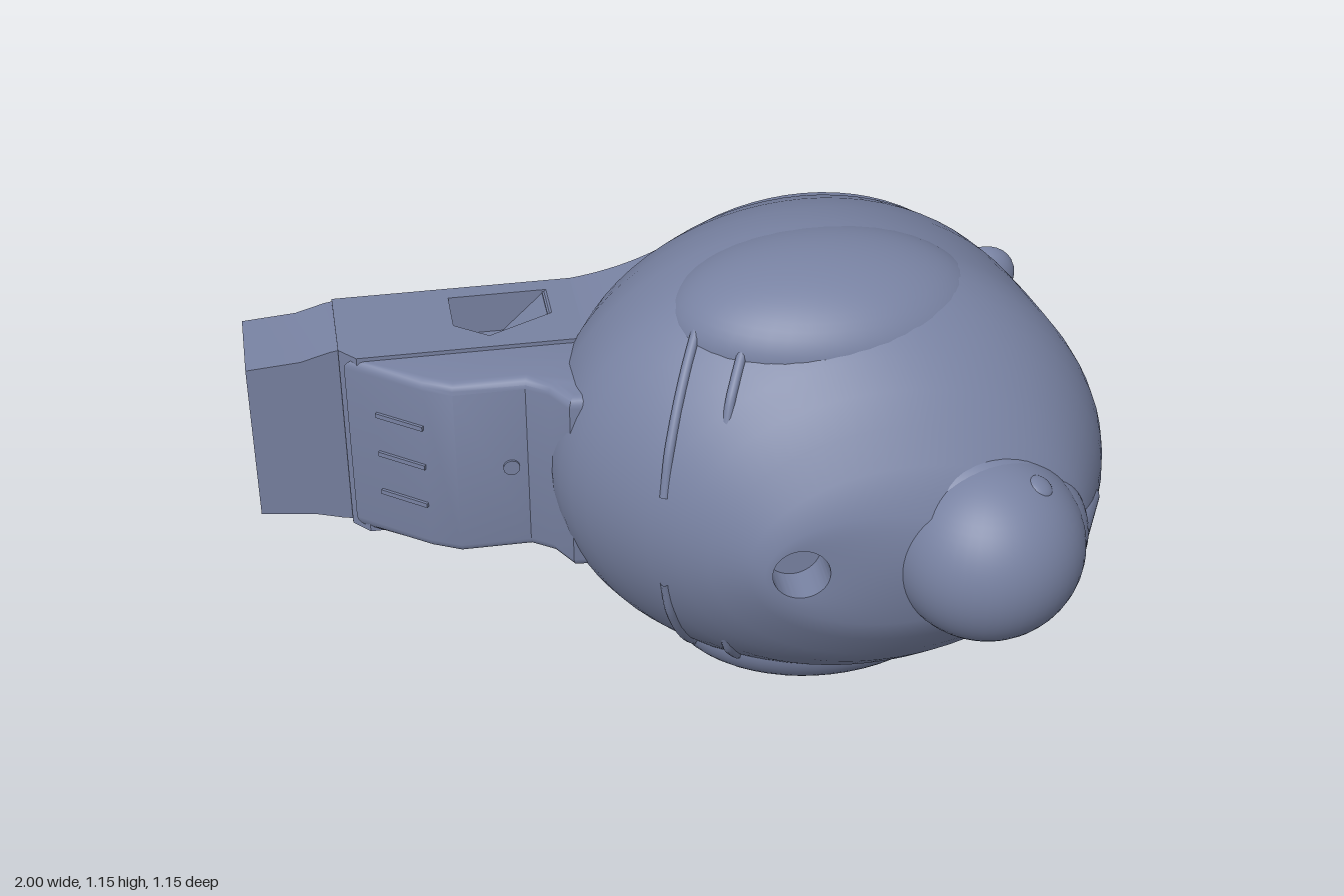
import * as THREE from 'three';
import { toCreasedNormals } from 'three/addons/utils/BufferGeometryUtils.js';

const MID = 0.575;   // height of the mirror plane
const BACK = -0.575; // flat back plane

// Body cross-sections: z at left edge, z at right edge, xMin, xMax, half height
const SECTIONS = [
  [-0.575, -0.575, -0.11, 0.885, 0.432],
  [-0.56, -0.56, -0.12, 0.885, 0.434],
  [-0.5, -0.5, -0.17, 0.905, 0.467],
  [-0.4, -0.4, -0.24, 0.935, 0.514],
  [-0.3, -0.3, -0.285, 0.955, 0.545],
  [-0.2, -0.2, -0.31, 0.97, 0.56],
  [-0.1, -0.1, -0.308, 0.985, 0.562],
  [-0.05, -0.05, -0.298, 0.993, 0.558],
  [0, 0, -0.277, 0.996, 0.546],
  [0.05, 0.05, -0.248, 0.992, 0.528],
  [0.1, 0.1, -0.213, 0.98, 0.504],
  [0.15, 0.15, -0.175, 0.963, 0.473],
  [0.2, 0.2, -0.132, 0.94, 0.436],
  [0.26, 0.26, -0.068, 0.908, 0.38],
  [0.31, 0.31, -0.005, 0.875, 0.32],
  [0.36, 0.36, 0.075, 0.825, 0.24],
  [0.385, 0.445, 0.108, 0.65, 0.15],
  [0.387, 0.401, 0.125, 0.255, 0.065], // rim of the round hole
  [0.3, 0.3, 0.125, 0.255, 0.065],     // floor of the round hole
];

function bodyGeometry(n = 72) {
  const pos = [], idx = [];
  for (const [zl, zr, x0, x1, h] of SECTIONS) {
    for (let j = 0; j < n; j++) {
      const a = (j / n) * Math.PI * 2, t = (Math.cos(a) + 1) / 2;
      pos.push(x0 + (x1 - x0) * t, MID + h * Math.sin(a), zl + (zr - zl) * t);
    }
  }
  const last = SECTIONS.length - 1, c0 = pos.length / 3, c1 = c0 + 1;
  pos.push(0.39, MID, BACK, 0.19, MID, 0.3);
  for (let j = 0; j < n; j++) {
    const k = (j + 1) % n;
    for (let i = 0; i < last; i++) {
      const a = i * n + j, b = i * n + k;
      idx.push(a, b, b + n, a, b + n, a + n);
    }
    idx.push(c0, k, j, c1, last * n + j, last * n + k);
  }
  const g = new THREE.BufferGeometry();
  g.setAttribute('position', new THREE.Float32BufferAttribute(pos, 3));
  g.setIndex(idx);
  return toCreasedNormals(g, 0.8);
}

// Half height of the body surface at a given x and z
function bodyHalfHeight(x, z) {
  let i = 0;
  while (SECTIONS[i + 1][0] < z) i++;
  const A = SECTIONS[i], B = SECTIONS[i + 1], t = (z - A[0]) / (B[0] - A[0]);
  const [x0, x1, h] = [2, 3, 4].map((k) => A[k] + (B[k] - A[k]) * t);
  const u = (x - (x0 + x1) / 2) / ((x1 - x0) / 2);
  return h * Math.sqrt(Math.max(0, 1 - u * u));
}

const toShape = (pts) => new THREE.Shape(pts.map(([x, y]) => new THREE.Vector2(x, y)));

// Extrudes an x-z outline upward from y0 to y1
function slab(pts, y0, y1, hole, bevel = 0) {
  const flip = (list) => list.map(([x, z]) => [x, -z]);
  const s = toShape(flip(pts));
  if (hole) s.holes.push(toShape(flip(hole)));
  const g = new THREE.ExtrudeGeometry(s, {
    depth: y1 - y0 - 2 * bevel, bevelEnabled: bevel > 0, bevelSize: bevel,
    bevelThickness: bevel, bevelOffset: -bevel, bevelSegments: 4,
  });
  g.rotateX(-Math.PI / 2);
  g.translate(0, y0 + bevel, 0);
  return toCreasedNormals(g, 0.6);
}

export function createModel() {
  const model = new THREE.Group();
  const mat = new THREE.MeshStandardMaterial({ color: 0x7882a2 });
  mat.name = 'slate blue';
  const add = (name, geo, x = 0, y = 0, z = 0) => {
    const m = new THREE.Mesh(geo, mat);
    m.name = name;
    m.position.set(x, y, z);
    model.add(m);
    return m;
  };
  const ellipsoid = (name, x, y, z, rx, ry, rz) =>
    add(name, new THREE.SphereGeometry(1, 48, 32), x, y, z).scale.set(rx, ry, rz);

  add('body', bodyGeometry());

  // Head with a pointed cheek and a small beak
  ellipsoid('head', 0.63, MID, 0.35, 0.225, 0.222, 0.225);
  ellipsoid('headBase', 0.6, MID, 0.32, 0.25, 0.235, 0.14);
  ellipsoid('cheek', 0.71, MID, 0.31, 0.165, 0.17, 0.17);
  const beak = add('beak', new THREE.CylinderGeometry(0.032, 0.046, 0.15, 20), 0.872, MID, 0.265);
  beak.quaternion.setFromUnitVectors(new THREE.Vector3(0, 1, 0),
    new THREE.Vector3(0.08, 0, -0.13).normalize());

  for (const s of [1, -1]) {
    const side = s > 0 ? 'upper' : 'lower';

    // Eye set on the head
    const dir = new THREE.Vector3(0.1, s * 0.195, 0.06).normalize();
    const eye = add(side + 'Eye', new THREE.SphereGeometry(0.03, 20, 14),
      0.63 + dir.x * 0.218, MID + dir.y * 0.218, 0.35 + dir.z * 0.218);
    eye.quaternion.setFromUnitVectors(new THREE.Vector3(0, 0, 1), dir);
    eye.scale.z = 0.4;

    // Long rounded wing blending into the body
    ellipsoid(side + 'Wing', 0.33, MID + s * 0.405, -0.07, 0.37, 0.17, 0.265);

    // Two raised ridges following the body
    for (const [xa, za, xb, zb] of [[-0.09, 0.21, 0.05, -0.03], [0.05, 0.21, 0.19, -0.03]]) {
      const pts = [];
      for (let i = 0; i <= 10; i++) {
        const t = i / 10, x = xa + (xb - xa) * t, z = za + (zb - za) * t;
        const sink = i % 10 === 0 ? 0.025 : 0;
        pts.push(new THREE.Vector3(x, MID + s * (bodyHalfHeight(x, z) - sink), z));
      }
      add(side + 'Ridge',
        new THREE.TubeGeometry(new THREE.CatmullRomCurve3(pts), 30, 0.012, 10));
    }

    // Tail lobe, cut flat at the back
    const lobe = new THREE.SphereGeometry(1, 28, 12, 0, Math.PI * 2, 0, Math.PI / 2);
    lobe.rotateX(Math.PI / 2);
    add(side + 'TailLobe', lobe, 0.86, MID + s * 0.155, BACK).scale.set(0.085, 0.08, 0.058);
    const cap = add(side + 'TailLobeBack', new THREE.CircleGeometry(1, 28),
      0.86, MID + s * 0.155, BACK);
    cap.scale.set(0.085, 0.08, 1);
    cap.rotation.y = Math.PI;

    // Curved fillet where the handle runs into the body
    const fillet = new THREE.Shape();
    fillet.moveTo(-0.27, MID + s * 0.245);
    fillet.quadraticCurveTo(-0.06, MID + s * 0.25, 0.1, MID + s * 0.35);
    fillet.lineTo(0.1, MID + s * 0.2);
    fillet.lineTo(-0.27, MID + s * 0.2);
    add(side + 'Fillet', toCreasedNormals(new THREE.ExtrudeGeometry(fillet,
      { depth: 0.285, bevelEnabled: false, curveSegments: 16 }), 0.6), 0, 0, BACK);
  }

  // Handle: plain lower block and an upper slab with a recess
  const block = [[-0.78, -0.335], [-0.74, -0.29], [0.06, -0.29], [0.06, BACK], [-0.78, BACK]];
  const recess = [[-0.5, -0.4], [-0.42, -0.34], [-0.26, -0.42], [-0.26, -0.53], [-0.5, -0.53]];
  add('handleBlock', slab(block, 0.325, 0.72));
  add('handleTop', slab(block, 0.72, 0.825, recess));
  const ramp = new THREE.ExtrudeGeometry(
    toShape([[-0.37, 0.72], [-0.26, 0.72], [-0.26, 0.825]]),
    { depth: 0.11, bevelEnabled: false });
  add('recessRamp', ramp, 0, 0, -0.53);

  // Tapered handle end
  const end = new THREE.ExtrudeGeometry(toShape([
    [-1, 0.37], [-0.87, 0.355], [-0.8, 0.335], [-0.74, 0.325],
    [-0.74, 0.825], [-0.8, 0.815], [-0.87, 0.795], [-1, 0.785],
  ]), { depth: 0.23, bevelEnabled: false });
  add('handleEnd', toCreasedNormals(end, 0.4), 0, 0, BACK);

  // Raised neck between handle and body
  add('neck', slab([
    [-0.77, -0.31], [-0.6, -0.18], [-0.53, -0.145], [-0.36, -0.145],
    [-0.31, -0.11], [-0.27, -0.04], [0, -0.02], [0, -0.31],
  ], 0.335, 0.815, null, 0.025));

  // Three small bars on the sloped neck front, and a round stud
  for (const y of [0.465, MID, 0.685]) {
    const bar = add('neckBar', new THREE.BoxGeometry(0.13, 0.012, 0.02), -0.65, y, -0.222);
    bar.rotation.y = -Math.atan2(0.13, 0.17);
  }
  const stud = add('neckStud', new THREE.CylinderGeometry(0.02, 0.02, 0.008, 24), -0.4, MID, -0.143);
  stud.rotation.x = Math.PI / 2;

  return model;
}
